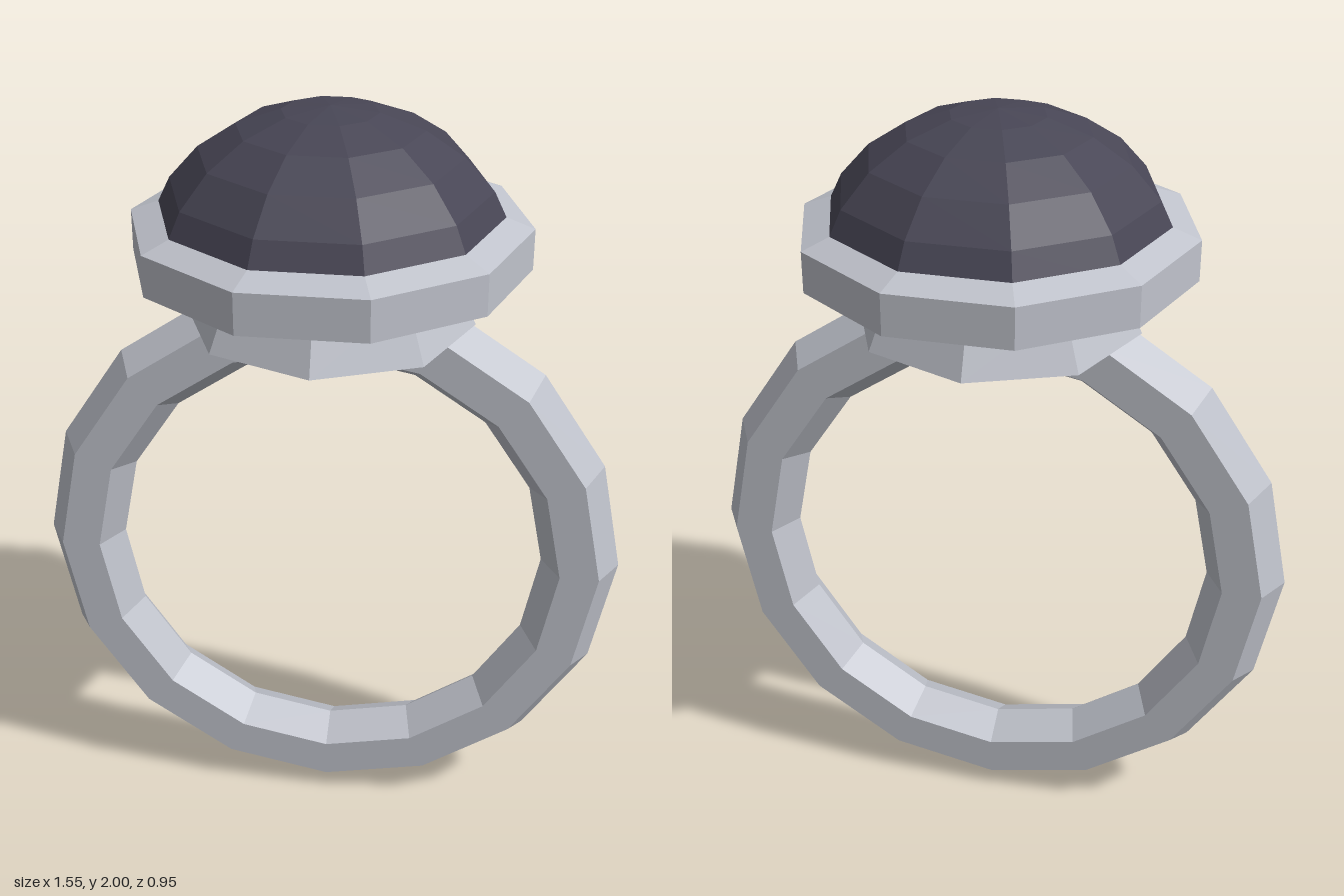
import * as THREE from 'three';

export function createModel() {
  const ring = new THREE.Group();
  const silver = new THREE.MeshStandardMaterial({ color: 0xc0c3cc, flatShading: true });
  silver.name = 'silver';
  const darkStone = new THREE.MeshStandardMaterial({ color: 0x484655, flatShading: true });
  darkStone.name = 'darkStone';

  const add = (name, geometry, material, y) => {
    const mesh = new THREE.Mesh(geometry, material);
    mesh.name = name;
    mesh.position.y = y;
    ring.add(mesh);
    return mesh;
  };

  // Finger band: hexagonal section swept around sixteen sides
  add('band', new THREE.TorusGeometry(0.674, 0.103, 6, 16), silver, 0.777);

  // Tapered eight-sided base joining the band to the setting
  add('settingBase', new THREE.CylinderGeometry(0.3, 0.367, 0.155, 8), silver, 1.5325);

  // Ten-sided collar with a sloping top lip, open in the middle
  const profile = [[0.42, 0], [0.5, 0], [0.5, 0.105], [0.42, 0.135], [0.42, 0]]
    .map(([r, y]) => new THREE.Vector2(r, y));
  add('collar', new THREE.LatheGeometry(profile, 10), silver, 1.61).rotation.y = Math.PI / 10;

  // Domed stone: flattened hemisphere and its flat underside, just below the collar
  const stoneBase = 1.608;
  const dome = new THREE.SphereGeometry(0.46, 10, 6, 0, Math.PI * 2, 0, Math.PI / 2);
  dome.scale(1, (2 - stoneBase) / 0.46, 1);
  add('stoneDome', dome, darkStone, stoneBase);
  const underside = new THREE.CircleGeometry(0.46, 10).rotateX(Math.PI / 2);
  add('stoneUnderside', underside, darkStone, stoneBase);

  return ring;
}
